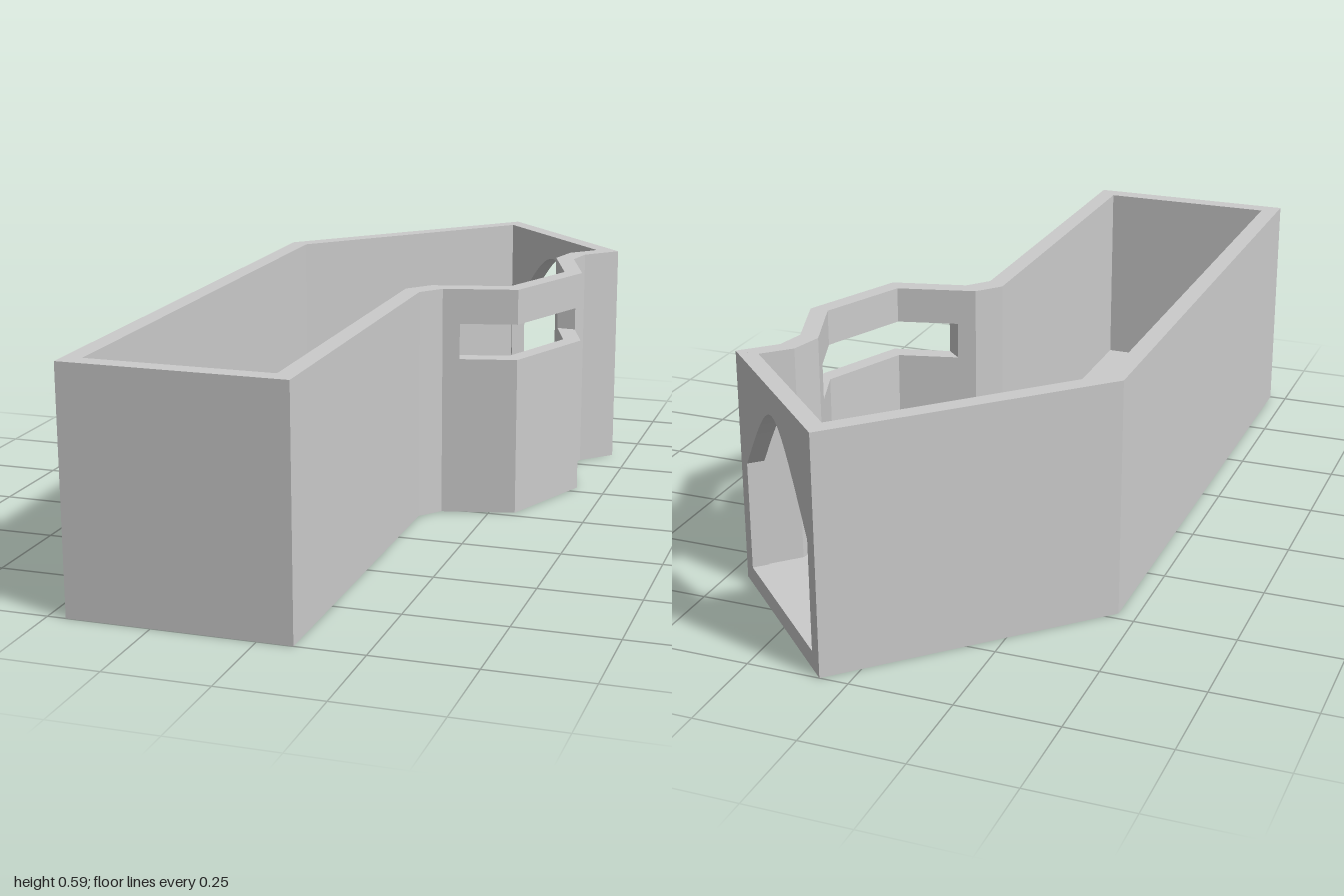
import * as THREE from 'three';

const HEIGHT = 0.59, FLOOR = 0.045, SILL = 0.408, LINTEL = 0.5;
const material = new THREE.MeshStandardMaterial({ color: 0xcccccc, flatShading: true });

// Matching corners [x, z] of the wall's outer and inner faces
const outer = [
  [-0.455, 1], [0.085, 1], [0.085, 0.075], [0.13, 0.02], [0.315, -0.025], [0.422, -0.285],
  [0.36, -0.465], [0.375, -0.54], [0.452, -0.617], [0.07, -1], [-0.455, -0.475],
];
const inner = [
  [-0.41, 0.955], [0.04, 0.955], [0.04, 0.045], [0.09, -0.015], [0.285, -0.065], [0.375, -0.285],
  [0.31, -0.47], [0.33, -0.555], [0.392, -0.617], [0.07, -0.94], [-0.41, -0.455],
];

function mesh(name, geometry) {
  const m = new THREE.Mesh(geometry, material);
  m.name = name;
  return m;
}

// Upright prism over a plan outline; an optional upper outline gives sloped sides
function prism(lower, y0, y1, upper = lower) {
  const shape = new THREE.Shape(lower.map(([x, z]) => new THREE.Vector2(x, -z)));
  const geo = new THREE.ExtrudeGeometry(shape, { depth: y1 - y0, bevelEnabled: false });
  geo.rotateX(-Math.PI / 2).translate(0, y0, 0);
  const p = geo.attributes.position;
  for (let i = 0; i < p.count; i++) {
    if (p.getY(i) < y1 - 1e-4) continue;
    const k = lower.findIndex(([x, z]) => Math.hypot(x - p.getX(i), z - p.getZ(i)) < 1e-4);
    if (k >= 0) p.setXYZ(i, upper[k][0], y1, upper[k][1]);
  }
  geo.computeVertexNormals();
  return geo;
}

const mix = (a, b, t) => [a[0] + (b[0] - a[0]) * t, a[1] + (b[1] - a[1]) * t];

// Stretch of wall on side i, between fractions t0 and t1 of its length
function wallPiece(i, y0, y1, t0 = 0, t1 = 1) {
  const j = (i + 1) % outer.length;
  return prism([
    mix(outer[i], outer[j], t0), mix(outer[i], outer[j], t1),
    mix(inner[i], inner[j], t1), mix(inner[i], inner[j], t0),
  ], y0, y1);
}

// Wall with a pointed arch doorway, mitred into its neighbours
function doorWall(i) {
  const [ax, az] = outer[i], [bx, bz] = outer[i + 1];
  const length = Math.hypot(bx - ax, bz - az), depth = 0.0425;
  const left = 0.046, right = length - 0.046, mid = (left + right) / 2;
  const shape = new THREE.Shape();
  shape.moveTo(0, 0).lineTo(length, 0).lineTo(length, HEIGHT).lineTo(0, HEIGHT).closePath();
  const hole = new THREE.Path();
  hole.moveTo(left, FLOOR).lineTo(left, 0.32);
  hole.bezierCurveTo(left + 0.1, 0.44, mid - 0.06, 0.525, mid, 0.525);
  hole.bezierCurveTo(mid + 0.06, 0.525, right - 0.1, 0.44, right, 0.32);
  hole.lineTo(right, FLOOR).closePath();
  shape.holes.push(hole);
  const geo = new THREE.ExtrudeGeometry(shape, { depth, bevelEnabled: false, curveSegments: 14 });
  geo.translate(0, 0, -depth);
  const p = geo.attributes.position;
  for (let k = 0; k < p.count; k++) {
    if (p.getZ(k) > -depth / 2) continue;
    if (p.getX(k) < 1e-4) p.setX(k, depth);
    else if (p.getX(k) > length - 1e-4) p.setX(k, length - depth);
  }
  geo.computeVertexNormals();
  const along = new THREE.Vector3(bx - ax, 0, bz - az).normalize();
  const up = new THREE.Vector3(0, 1, 0);
  const out = new THREE.Vector3().crossVectors(along, up);
  geo.applyMatrix4(new THREE.Matrix4().makeBasis(along, up, out).setPosition(ax, 0, az));
  return geo;
}

export function createModel() {
  const model = new THREE.Group();
  model.name = 'roofless room';
  model.add(mesh('floor', prism(inner, 0, FLOOR)));

  // Walls: the bay's three sides carry one continuous window slot
  const walls = new THREE.Group();
  walls.name = 'walls';
  const slots = { 3: [0.23, 1], 4: [0, 1], 5: [0, 0.69] };
  const doorSide = 8;
  outer.forEach((_, i) => {
    if (i === doorSide) {
      walls.add(mesh('doorWall', doorWall(i)));
    } else if (slots[i]) {
      const [t0, t1] = slots[i];
      walls.add(mesh('wallBelowWindow', wallPiece(i, 0, SILL)));
      walls.add(mesh('wallAboveWindow', wallPiece(i, LINTEL, HEIGHT)));
      if (t0 > 0) walls.add(mesh('windowJamb', wallPiece(i, SILL, LINTEL, 0, t0)));
      if (t1 < 1) walls.add(mesh('windowJamb', wallPiece(i, SILL, LINTEL, t1, 1)));
    } else {
      walls.add(mesh('wall', wallPiece(i, 0, HEIGHT)));
    }
  });
  model.add(walls);

  // Raised front floor with a short ramp down to the main floor
  const profile = [[0.955, FLOOR], [0.955, 0.1], [0.5, 0.1], [0.41, FLOOR]];
  const ramp = new THREE.ExtrudeGeometry(
    new THREE.Shape(profile.map(([z, y]) => new THREE.Vector2(-z, y))),
    { depth: 0.45, bevelEnabled: false });
  ramp.rotateY(Math.PI / 2).translate(-0.41, 0, 0);
  model.add(mesh('frontPlatform', ramp));

  // Low sloped-edge platform in the bay
  const bayWall = [[0.285, -0.065], [0.375, -0.285]];
  model.add(mesh('bayPlatform', prism(
    [[0.331, -0.41], [0.22, -0.362], [0.13, -0.15], [0.142, -0.028], ...bayWall], FLOOR, 0.08,
    [[0.337, -0.395], [0.234, -0.346], [0.152, -0.148], [0.163, -0.034], ...bayWall])));
  return model;
}
